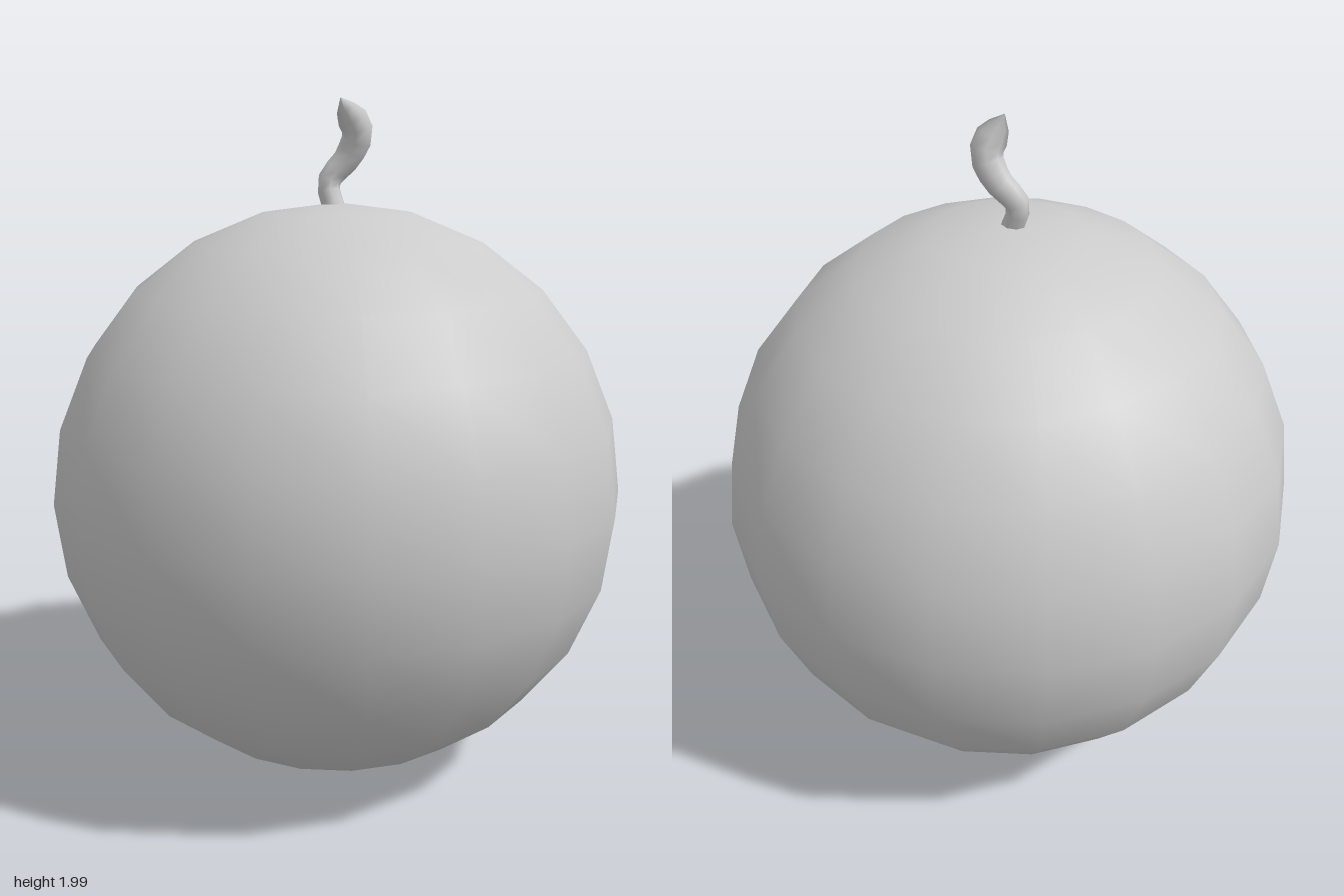
import * as THREE from 'three';

const material = new THREE.MeshStandardMaterial({ color: 0xcccccc });

// Tube along a curve whose radius changes from ring to ring
function taperedTube(points, radii, sides) {
  const curve = new THREE.CatmullRomCurve3(points.map(p => new THREE.Vector3(...p)));
  const rings = radii.length - 1;
  const geometry = new THREE.TubeGeometry(curve, rings, 1, sides, false);
  const pos = geometry.attributes.position;
  const v = new THREE.Vector3();
  for (let i = 0; i <= rings; i++) {
    const centre = curve.getPointAt(i / rings);
    for (let j = 0; j <= sides; j++) {
      const k = i * (sides + 1) + j;
      v.fromBufferAttribute(pos, k).sub(centre).multiplyScalar(radii[i]).add(centre);
      pos.setXYZ(k, v.x, v.y, v.z);
    }
  }
  return geometry;
}

export function createModel() {
  const group = new THREE.Group();

  // Round fruit body, with a column of vertices facing straight forward
  const body = new THREE.Mesh(
    new THREE.SphereGeometry(0.85, 18, 12, Math.PI / 2), material);
  body.name = 'fruitBody';
  body.position.y = 0.852;
  group.add(body);

  // Crooked stem, thicker toward its rounded tip
  const stem = new THREE.Mesh(taperedTube(
    [[0, 1.67, 0.01], [-0.028, 1.76, 0.003], [0.02, 1.83, -0.025],
      [0.053, 1.9, -0.025], [0.032, 1.972, 0.012], [0.024, 1.995, 0.02]],
    [0.036, 0.033, 0.033, 0.034, 0.036, 0.038, 0.041, 0.043, 0.045, 0.045, 0.03, 0],
    8), material);
  stem.name = 'stem';
  group.add(stem);

  return group;
}
